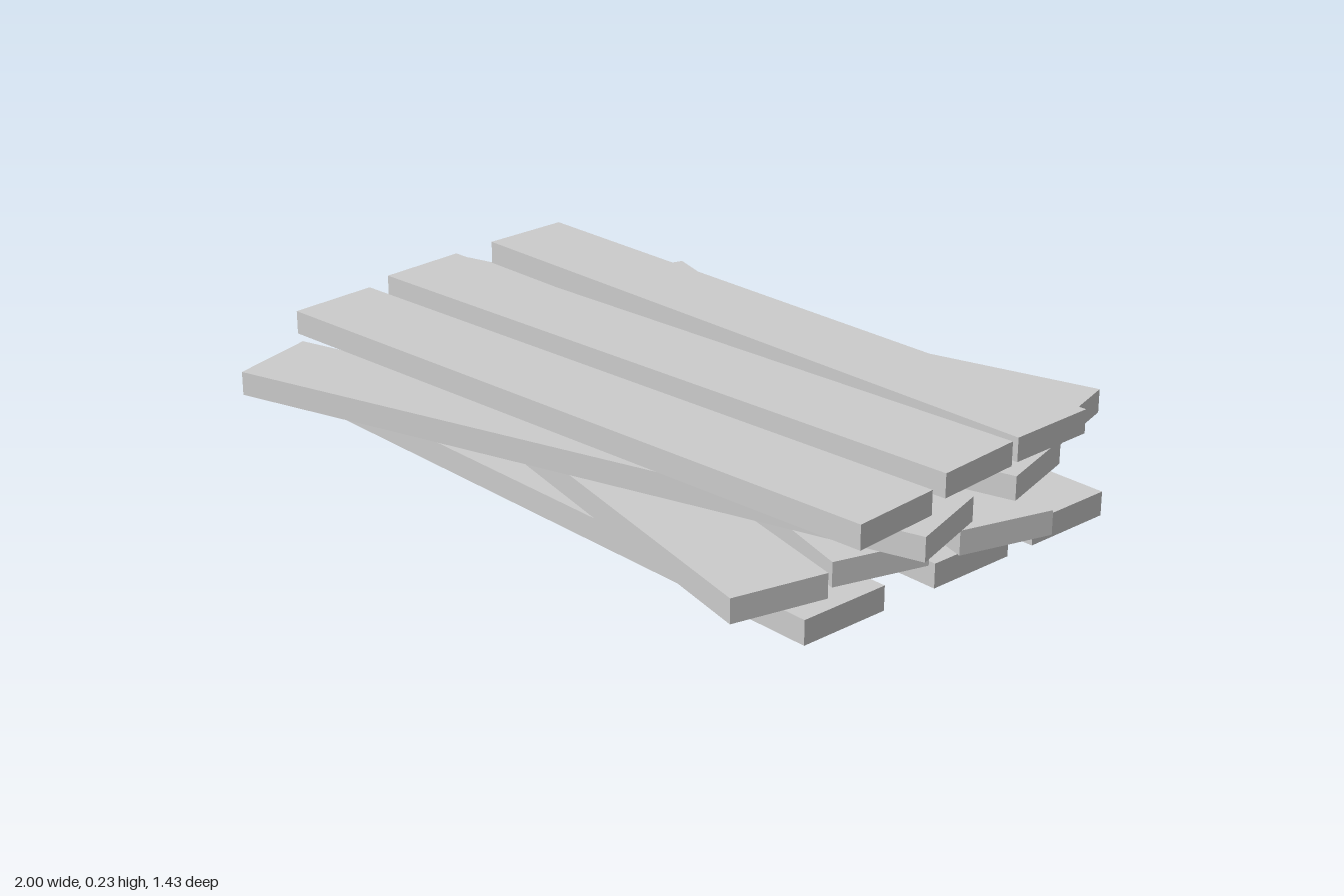
import * as THREE from 'three';

const LENGTH = 1.795, WIDTH = 0.235, THICK = 0.0587;

// Each layer, bottom to top: planks as [centre x, centre z, slope dz/dx]
const LAYERS = [
  [[0.031, -0.356, 0], [0.031, -0.04, 0], [0.031, 0.349, 0]],
  [[0.105, -0.347, 0.283], [0.03, -0.037, 0.283], [-0.01, 0.283, 0.222]],
  [[-0.11, -0.34, -0.305], [0.02, -0.05, -0.295], [0.1, 0.336, -0.313]],
  [[-0.035, -0.347, -0.0224], [-0.015, -0.037, -0.079], [0.042, 0.282, -0.08]],
];

// A plank is a thin shell left open underneath: a box without its bottom face
function openPlank() {
  const geometry = new THREE.BoxGeometry(LENGTH, THICK, WIDTH);
  const index = Array.from(geometry.index.array);
  index.splice(18, 6);
  geometry.setIndex(index);
  geometry.clearGroups();
  return geometry;
}

export function createModel() {
  const model = new THREE.Group();
  model.name = 'plankStack';
  const material = new THREE.MeshStandardMaterial({
    color: 0xcccccc, flatShading: true, side: THREE.DoubleSide,
  });
  const plankGeometry = openPlank();

  LAYERS.forEach((planks, level) => {
    const layer = new THREE.Group();
    layer.name = `layer${level + 1}`;
    layer.position.y = (level + 0.5) * THICK;
    planks.forEach(([x, z, slope], i) => {
      const plank = new THREE.Mesh(plankGeometry, material);
      plank.name = `plank${level + 1}_${i + 1}`;
      plank.position.set(x, 0, z);
      plank.rotation.y = -Math.atan(slope);
      layer.add(plank);
    });
    model.add(layer);
  });
  return model;
}
